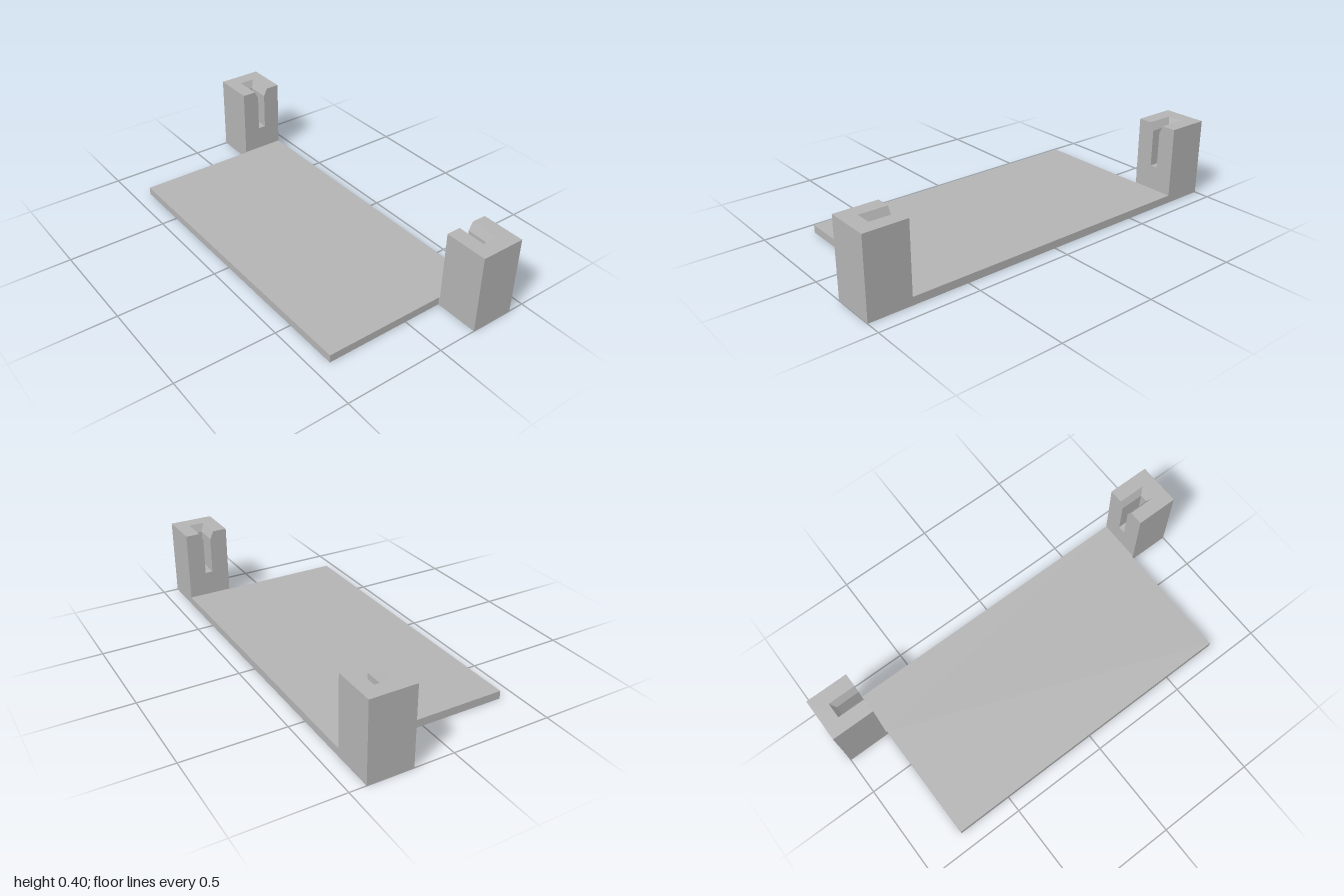
import * as THREE from 'three';

const BACK = -0.42, POST_FRONT = -0.197, INNER = 0.785, OUTER = 1;
const HEIGHT = 0.395, SLOT_FLOOR = 0.165, CHAMFER_Y = 0.355, CHAMFER = 0.02;
const SLOT_HALF = 0.02, SLOT_END = 0.905;

function polygon(points) {
  return new THREE.Shape(points.map(([x, y]) => new THREE.Vector2(x, y)));
}

// Extrude a plan outline upwards (outline y becomes -z)
function extrudeUp(points, depth, steps = 1) {
  return new THREE.ExtrudeGeometry(polygon(points), { depth, steps, bevelEnabled: false }).rotateX(-Math.PI / 2);
}

// U-shaped upper part of a post, with a slot whose mouth flares at the top
function slottedTop() {
  const h = (POST_FRONT - BACK) / 2, s = SLOT_HALF, depth = HEIGHT - SLOT_FLOOR;
  const geo = extrudeUp([
    [INNER, -h], [OUTER, -h], [OUTER, h], [INNER, h],
    [INNER, s], [SLOT_END, s], [SLOT_END, -s], [INNER, -s],
  ], depth, 2);
  const p = geo.attributes.position;
  for (let i = 0; i < p.count; i++) {
    const x = p.getX(i), y = p.getY(i), z = p.getZ(i);
    if (Math.abs(y - depth / 2) < 0.001) p.setY(i, CHAMFER_Y - SLOT_FLOOR);
    if (y > depth - 0.001 && Math.abs(z) < s + 0.001) {
      p.setZ(i, z + Math.sign(z) * CHAMFER);
      if (Math.abs(x - SLOT_END) < 0.001) p.setX(i, x + CHAMFER);
    }
  }
  geo.computeVertexNormals();
  return geo.translate(0, SLOT_FLOOR, 0);
}

export function createModel() {
  const model = new THREE.Group();
  model.name = 'slottedBracket';
  const grey = new THREE.MeshStandardMaterial({ color: 0xb3b3b3 });
  grey.name = 'plain grey';

  const add = (parent, name, geo) => {
    const mesh = new THREE.Mesh(geo, grey);
    mesh.name = name;
    parent.add(mesh);
  };

  // Base plate, slightly wider where it meets the posts
  const w = 0.78;
  add(model, 'basePlate', extrudeUp([
    [-w, BACK], [w, BACK], [w, -POST_FRONT], [INNER, -POST_FRONT],
    [INNER, -BACK], [-INNER, -BACK], [-INNER, -POST_FRONT], [-w, -POST_FRONT],
  ], 0.04));

  // Two posts with slots facing each other
  for (const [name, turn] of [['leftPost', 0], ['rightPost', Math.PI]]) {
    const post = new THREE.Group();
    post.name = name;
    add(post, 'postBlock', new THREE.BoxGeometry(OUTER - INNER, SLOT_FLOOR, POST_FRONT - BACK)
      .translate((INNER + OUTER) / 2, SLOT_FLOOR / 2, 0));
    add(post, 'slottedTop', slottedTop());
    post.rotation.y = turn;
    post.position.z = (BACK + POST_FRONT) / 2;
    model.add(post);
  }
  return model;
}
